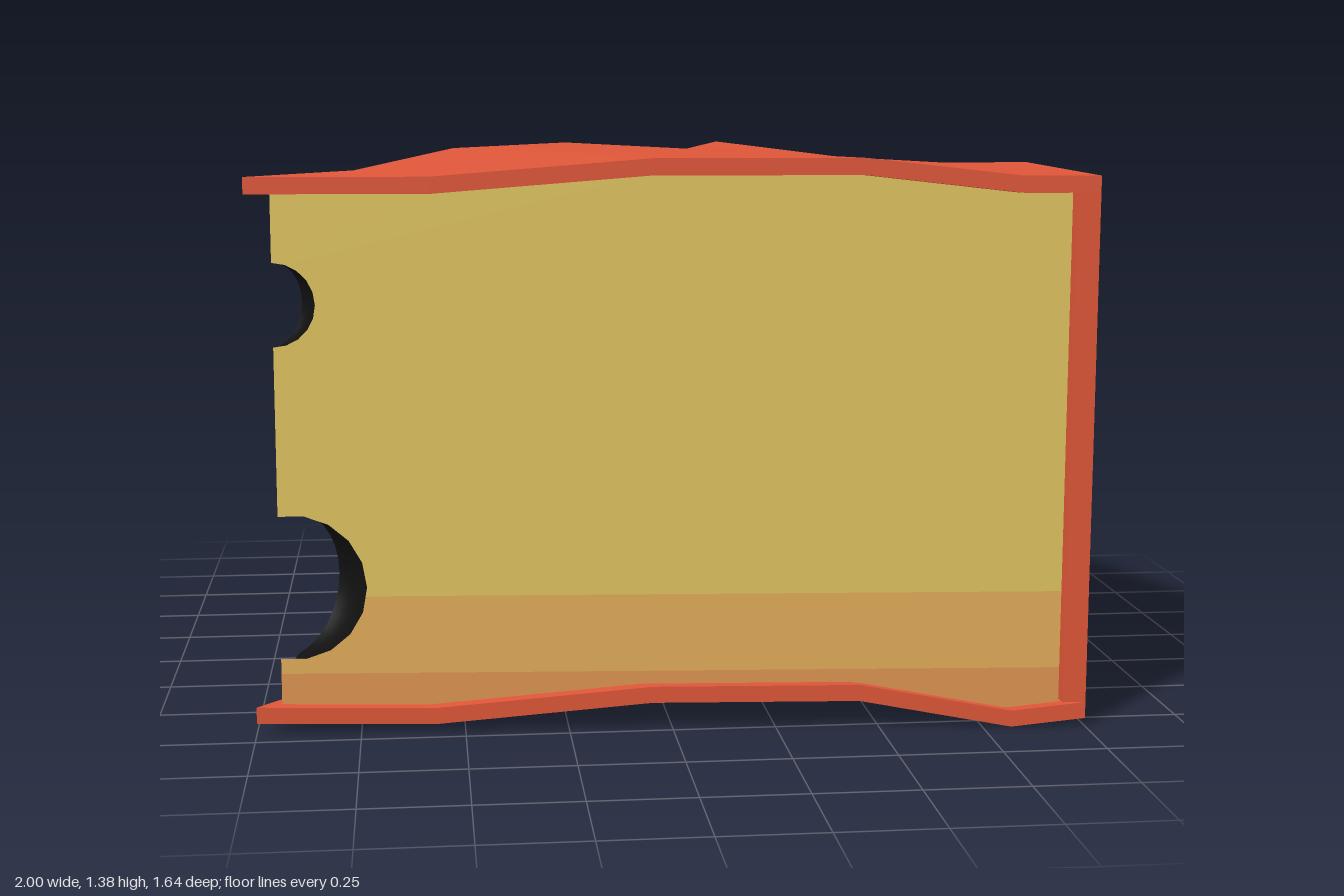
import * as THREE from 'three';
import { mergeGeometries } from 'three/addons/utils/BufferGeometryUtils.js';

const V = (x, y, z) => new THREE.Vector3(x, y, z);
const mat = (name, color, side = THREE.FrontSide) => {
  const m = new THREE.MeshStandardMaterial({ color, side });
  m.name = name;
  return m;
};

// Wedge plan: tip, and the curved outer edge from front corner to back corner
const TIP = V(-1, 0, 0.68);
const ARC = [[1, 0.82], [0.95, 0.35], [0.83, -0.08], [0.62, -0.46], [0.31, -0.82]].map(([x, z]) => V(x, 0, z));
const ARC_TOP = [1.335, 1.345, 1.325, 1.325, 1.357];
const ARC_BOTTOM = [0.02, 0.02, 0.02, 0.02, 0.02];

// Stations along each cut edge: position from the tip, top height, bottom height
const FRONT = [[0, 1.335, 0.025], [0.215, 1.335, 0.02], [0.475, 1.377, 0.068], [0.725, 1.377, 0.068], [0.91, 1.335, 0], [1, 1.335, 0.02]];
const BACK = [[0, 1.335, 0.025], [0.19, 1.335, 0.025], [0.38, 1.377, 0.07], [0.62, 1.377, 0.06], [0.87, 1.33, 0.03], [1, 1.357, 0.02]];
const RIND = 0.04;
const WALL = 0.0275;  // wall thickness as a share of the wedge length
const INSET = 0.058;  // distance from rind tip to cheese tip, along an edge

// Smooth surface through a grid of points
function patch(grid, flip = false) {
  const cols = grid[0].length, index = [];
  for (let i = 0; i < grid.length - 1; i++) {
    for (let j = 0; j < cols - 1; j++) {
      const a = i * cols + j, b = a + cols;
      index.push(...(flip ? [a, b + 1, b, a, a + 1, b + 1] : [a, b, b + 1, a, b + 1, a + 1]));
    }
  }
  const g = new THREE.BufferGeometry().setFromPoints(grid.flat());
  g.setIndex(index);
  g.computeVertexNormals();
  return g;
}

// Closed slab between two matching grids, with crisp borders
function slab(a, b) {
  const n = a[0].length - 1, last = a.length - 1;
  const borders = [
    g => g.map(r => r[0]),
    g => g[last],
    g => g.map(r => r[n]).reverse(),
    g => [...g[0]].reverse(),
  ];
  return mergeGeometries([patch(a), patch(b, true), ...borders.map(f => patch([f(a), f(b)]))]);
}

// Wavy sheet from the tip to the curved edge; k = 1 for top, 2 for bottom
function sheet(k, lift) {
  const arcY = k === 1 ? ARC_TOP : ARC_BOTTOM;
  return FRONT.map((f, i) => ARC.map((c, j) => {
    if (i === FRONT.length - 1) return V(c.x, arcY[j] + lift, c.z);
    const p = TIP.clone().lerp(ARC[0], f[0]).setY(f[k] + lift);
    const q = TIP.clone().lerp(ARC[4], BACK[i][0]).setY(BACK[i][k] + lift);
    return p.lerp(q, j / 4);
  }));
}

// Keep the part of an outline above (sign 1) or below (sign -1) a height
function clip(points, y, sign) {
  const out = [];
  points.forEach((p, i) => {
    const q = points[(i + 1) % points.length];
    const dp = (p.y - y) * sign, dq = (q.y - y) * sign;
    if (dp >= 0) out.push(p);
    if (dp * dq < 0) out.push(p.clone().lerp(q, dp / (dp - dq)));
  });
  return out;
}

export function createModel() {
  const model = new THREE.Group();
  const rind = mat('red rind', 0xdf5639);
  const yellow = mat('yellow cheese', 0xdfc460);
  const amber = mat('amber cheese', 0xe1ab59);
  const orange = mat('orange cheese', 0xde9552);
  const dark = mat('dark hole', 0x101010, THREE.DoubleSide);
  const add = (name, geo, m, parent = model) => {
    const mesh = new THREE.Mesh(geo, m);
    mesh.name = name;
    parent.add(mesh);
    return mesh;
  };

  // Rind: top, bottom and curved wall
  add('topRind', slab(sheet(1, 0), sheet(1, -RIND)), rind);
  add('bottomRind', slab(sheet(2, RIND), sheet(2, 0)), rind);
  const arcWall = t => ARC.map((c, j) => {
    const p = c.clone().lerp(TIP, t);
    return [p.clone().setY(ARC_BOTTOM[j] + RIND), p.clone().setY(ARC_TOP[j] - RIND)];
  });
  add('outerRind', slab(arcWall(0), arcWall(WALL)), rind);

  // Cheese tip, set back along the bisector of the two cut faces
  const angle = p => Math.atan2(TIP.z - p.z, p.x - TIP.x);
  const angF = angle(ARC[0]), angB = angle(ARC[4]);
  const mid = (angF + angB) / 2, alpha = (angB - angF) / 2;
  const back = INSET / Math.cos(alpha);
  const tip = V(TIP.x + back * Math.cos(mid), 0, TIP.z - back * Math.sin(mid));

  // Bites through the tip edge: centre height, radius, distance inside the tip
  const bites = [[0.352, 0.178, 0.036], [1.033, 0.1, 0]];

  // Cut face with bitten tip edge, round holes and coloured bands
  function cutFace(name, stations, corner, mirror, holes, bands) {
    const length = corner.clone().setY(0).distanceTo(TIP);
    const end = length * (1 - WALL) - INSET;
    const at = s => THREE.MathUtils.clamp(s * length - INSET, 0, end);
    const outline = stations.map(([t, , y]) => new THREE.Vector2(at(t), y + RIND - 0.005));
    outline.push(...stations.map(([t, y]) => new THREE.Vector2(at(t), y - RIND + 0.005)).reverse());
    for (const [y, r, e] of [...bites].reverse()) {
      const cs = e * Math.cos(alpha), cr = Math.hypot(r, 0) * Math.sqrt(1 - (e * Math.sin(alpha) / r) ** 2);
      const a0 = Math.acos(-cs / cr);
      for (let i = 0; i <= 10; i++) {
        const a = a0 * (1 - i / 5);
        outline.push(new THREE.Vector2(Math.max(0, cs + cr * Math.cos(a)), y + cr * Math.sin(a)));
      }
    }
    const face = new THREE.Group();
    face.name = name;
    face.position.copy(tip);
    face.rotation.y = (mirror < 0 ? Math.PI : 0) + angle(corner);
    model.add(face);
    for (const [label, low, high, m] of bands) {
      const pts = clip(clip(outline, low, 1), high, -1);
      const shape = new THREE.Shape(pts.map(p => new THREE.Vector2(p.x * mirror, p.y)));
      for (const [s, y, r] of holes) {
        if (y < low || y > high) continue;
        shape.holes.push(new THREE.Path().absarc((s - INSET) * mirror, y, r, 0, Math.PI * 2, true));
      }
      add(label, new THREE.ShapeGeometry(shape, 14), m, face);
    }
    // Hollow bowls sunk behind the round holes
    for (const [s, y, r] of holes) {
      const bowl = new THREE.SphereGeometry(r, 28, 8, 0, Math.PI * 2, 0, Math.PI / 2).rotateX(-Math.PI / 2);
      add('holeBowl', bowl, dark, face).position.set((s - INSET) * mirror, y, 0);
    }
  }
  cutFace('frontCut', FRONT, ARC[0], 1, [], [
    ['lowerBand', -1, 0.14, orange], ['middleBand', 0.14, 0.33, amber], ['upperCheese', 0.33, 3, yellow],
  ]);
  cutFace('backCut', BACK, ARC[4], -1, [
    [1.51, 0.96, 0.206], [0.723, 1.03, 0.163], [0.255, 0.745, 0.057],
    [1.057, 0.465, 0.14], [1.6, 0.37, 0.086], [0.596, 0.225, 0.044],
  ], [['lowerBand', -1, 0.28, amber], ['upperCheese', 0.28, 3, yellow]]);

  // Round walls of the bites, trimmed to the two cut faces
  for (const [y, r, e] of bites) {
    const grid = [];
    for (let i = 0; i <= 16; i++) {
      const v = (i / 16 - 0.5) * Math.PI;
      const ring = Math.max(r * Math.cos(v), 1e-4);
      const reach = alpha + Math.asin(Math.min(1, e * Math.sin(alpha) / ring));
      grid.push(Array.from({ length: 9 }, (_, j) => {
        const a = mid + reach * (j / 4 - 1);
        return V(
          tip.x + e * Math.cos(mid) + ring * Math.cos(a),
          y + r * Math.sin(v),
          tip.z - e * Math.sin(mid) - ring * Math.sin(a));
      }));
    }
    add('tipBite', patch(grid), dark);
  }
  return model;
}
